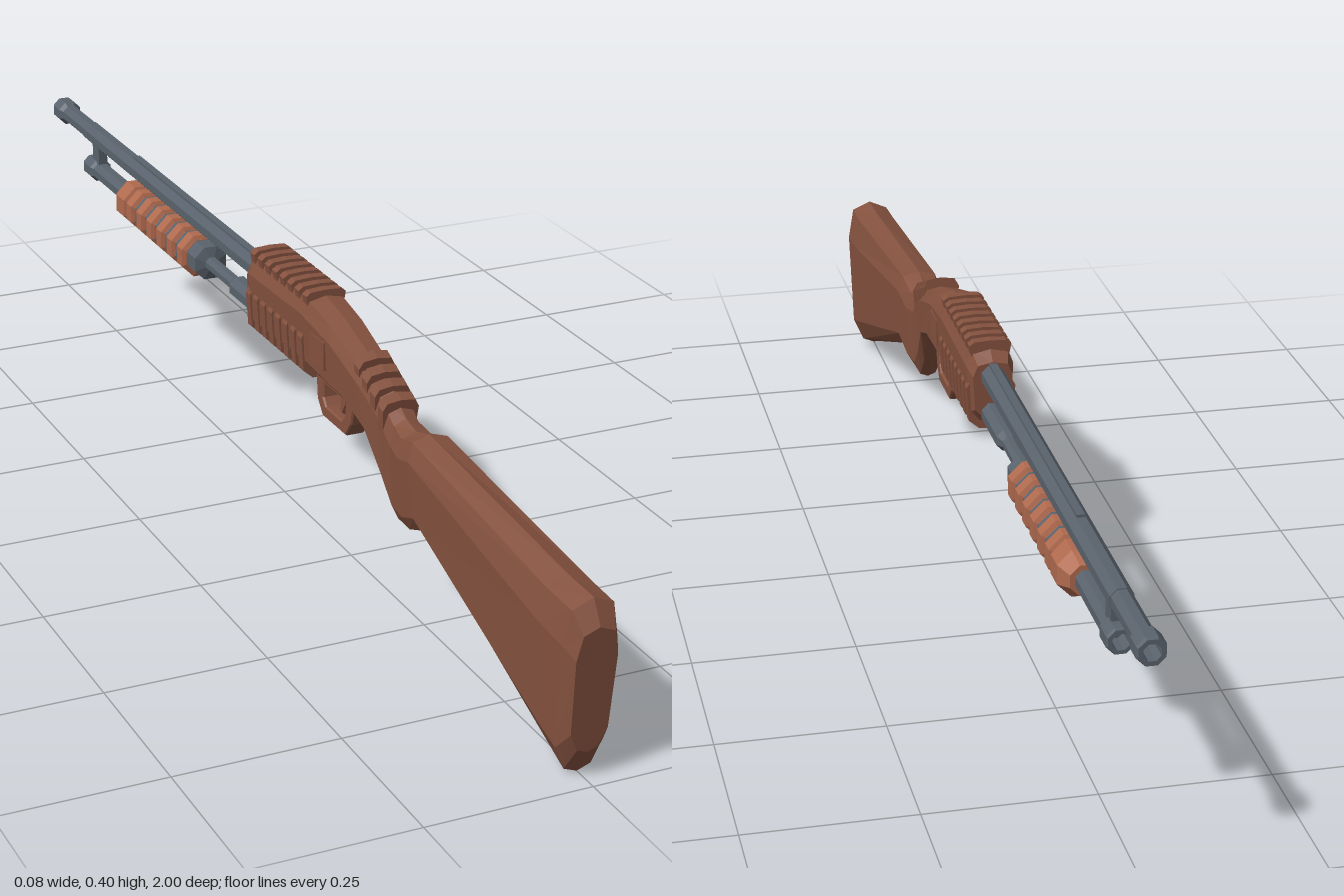
import * as THREE from 'three';

const paint = (color) => new THREE.MeshStandardMaterial({ color, flatShading: true, side: THREE.DoubleSide });

// Half outline of a body section: [share of half width, share of height]
const HALF = [[0, 1], [0.76, 0.95], [1, 0.76], [0.9, 0.17], [0.5, 0.03], [0, 0]];
const RING = [...HALF, ...HALF.slice(1, -1).reverse().map(([x, y]) => [-x, y])];

// Skin over slanted sections [topZ, topY, bottomZ, bottomY, halfWidth], from +z to -z
function loft(sections) {
  const n = RING.length, pos = [], idx = [];
  for (const [tz, ty, bz, by, w] of sections)
    for (const [x, f] of RING) pos.push(x * w, by + (ty - by) * f, bz + (tz - bz) * f);
  for (let s = 0; s < sections.length - 1; s++)
    for (let k = 0; k < n; k++) {
      const a = s * n + k, b = s * n + (k + 1) % n;
      idx.push(a, b, a + n, b, b + n, a + n);
    }
  const last = (sections.length - 1) * n;
  for (let k = 1; k < n - 1; k++) {
    idx.push(0, k + 1, k);
    idx.push(last, last + k, last + k + 1);
  }
  const g = new THREE.BufferGeometry();
  g.setAttribute('position', new THREE.Float32BufferAttribute(pos, 3));
  g.setIndex(idx);
  g.computeVertexNormals();
  return g;
}

// Turned part along z: profile of [z, radius] going toward -z
function turned(profile, y) {
  const g = new THREE.LatheGeometry(profile.map(([z, r]) => new THREE.Vector2(r, -z)), 8, Math.PI / 8);
  return g.rotateX(-Math.PI / 2).translate(0, y, 0);
}

// Flat side outline in [z, y], thickened across x
function plate(outline, width, hole) {
  const pts = (list) => list.map(([z, y]) => new THREE.Vector2(-z, y));
  const shape = new THREE.Shape(pts(outline));
  if (hole) shape.holes.push(new THREE.Path(pts(hole)));
  return new THREE.ExtrudeGeometry(shape, {
    depth: width - 0.006, bevelEnabled: true, bevelThickness: 0.003, bevelSize: 0.002, bevelSegments: 1,
  }).translate(0, 0, -(width - 0.006) / 2).rotateY(Math.PI / 2);
}

export function createModel() {
  const root = new THREE.Group();
  root.name = 'pumpShotgun';
  const brown = paint(0x85523f), tan = paint(0xb06a4e), steel = paint(0x59626c);
  const add = (name, geometry, material) => {
    const m = new THREE.Mesh(geometry, material);
    m.name = name;
    root.add(m);
    return m;
  };

  // Butt, grip and receiver as one flowing body
  add('stockAndReceiver', loft([
    [1.0, 0.24, 0.98, 0.045, 0.031],
    [0.98, 0.274, 0.955, 0.003, 0.041],
    [0.91, 0.276, 0.915, 0.02, 0.042],
    [0.505, 0.31, 0.527, 0.168, 0.037],
    [0.462, 0.297, 0.479, 0.147, 0.031],
    [0.43, 0.304, 0.435, 0.145, 0.026],
    [0.385, 0.331, 0.398, 0.186, 0.027],
    [0.32, 0.352, 0.355, 0.243, 0.032],
    [0.22, 0.383, 0.3, 0.264, 0.035],
    [0.14, 0.398, 0.14, 0.272, 0.037],
    [-0.055, 0.394, -0.055, 0.265, 0.037],
    [-0.077, 0.376, -0.077, 0.283, 0.031],
  ]), brown);

  // Ribs over the top and round the underside of the receiver
  const slice = (z, top, bottom, w) => loft([
    [z + 0.008, top, z + 0.008, bottom, w], [z - 0.008, top, z - 0.008, bottom, w]]);
  for (let i = 0; i < 8; i++) {
    const z = 0.145 - i * 0.028;
    add('topRib', slice(z, 0.405, 0.375, 0.033), brown);
    add('lowerRib', slice(z - 0.005, 0.352, 0.26, 0.0385), brown);
  }

  // Thumb ridges behind the receiver
  for (let i = 0; i < 4; i++) {
    const z = 0.405 - i * 0.027;
    const y = 0.327 + i * 0.0115;
    add('thumbRidge', loft([
      [z + 0.009, y, z + 0.002, y - 0.06, 0.029], [z - 0.006, y + 0.007, z - 0.012, y - 0.06, 0.03]]), brown);
  }

  // Raised side panels
  for (const side of [-1, 1])
    add('sidePanel', new THREE.BoxGeometry(0.006, 0.045, 0.05).translate(side * 0.034, 0.328, 0.2), brown);

  // Trigger and guard
  add('triggerGuard', plate(
    [[0.285, 0.275], [0.275, 0.235], [0.258, 0.212], [0.178, 0.212], [0.16, 0.233], [0.155, 0.275]], 0.032,
    [[0.262, 0.267], [0.257, 0.24], [0.246, 0.227], [0.187, 0.227], [0.176, 0.24], [0.174, 0.267]]), brown);
  add('trigger', plate(
    [[0.24, 0.275], [0.237, 0.25], [0.226, 0.233], [0.219, 0.235], [0.224, 0.252], [0.22, 0.275]], 0.013), brown);

  // Barrel with open collared muzzle
  add('barrel', turned([
    [-0.06, 0], [-0.06, 0.019], [-0.85, 0.018], [-0.85, 0.0165], [-0.958, 0.0165], [-0.966, 0.022],
    [-0.994, 0.022], [-1.0, 0.02], [-1.0, 0.013], [-0.95, 0.013], [-0.95, 0]], 0.353), steel);
  add('barrelRib', new THREE.BoxGeometry(0.012, 0.01, 0.56).translate(0, 0.369, -0.35), steel);

  // Magazine tube below, with slide rod and open end cap
  add('magazineTube', turned([
    [-0.06, 0], [-0.06, 0.019], [-0.18, 0.019], [-0.195, 0.012], [-0.295, 0.012], [-0.3, 0.03],
    [-0.335, 0.03], [-0.34, 0.025], [-0.645, 0.025], [-0.65, 0.017], [-0.805, 0.017], [-0.812, 0.021],
    [-0.845, 0.021], [-0.85, 0.019], [-0.85, 0.013], [-0.815, 0.013], [-0.815, 0]], 0.291), steel);
  add('tubeBracket', new THREE.BoxGeometry(0.016, 0.055, 0.03).translate(0, 0.322, -0.812), steel);

  // Ribbed sliding fore-end
  add('foreEndCore', turned([[-0.335, 0.02], [-0.335, 0.031], [-0.6, 0.031], [-0.6, 0.02]], 0.291), tan);
  for (let i = 0; i < 6; i++) {
    const z = -0.335 - i * 0.046;
    add('foreEndRib', turned([
      [z, 0.028], [z - 0.004, 0.0385], [z - 0.026, 0.0385], [z - 0.03, 0.028]], 0.291), tan);
    if (i) add('foreEndGroove', turned([[z + 0.013, 0.03], [z + 0.013, 0.033], [z + 0.003, 0.033], [z + 0.003, 0.03]], 0.291), steel);
  }
  add('foreEndNose', turned([
    [-0.6, 0.028], [-0.604, 0.0385], [-0.64, 0.0385], [-0.665, 0.025], [-0.665, 0.015]], 0.291), tan);

  return root;
}
